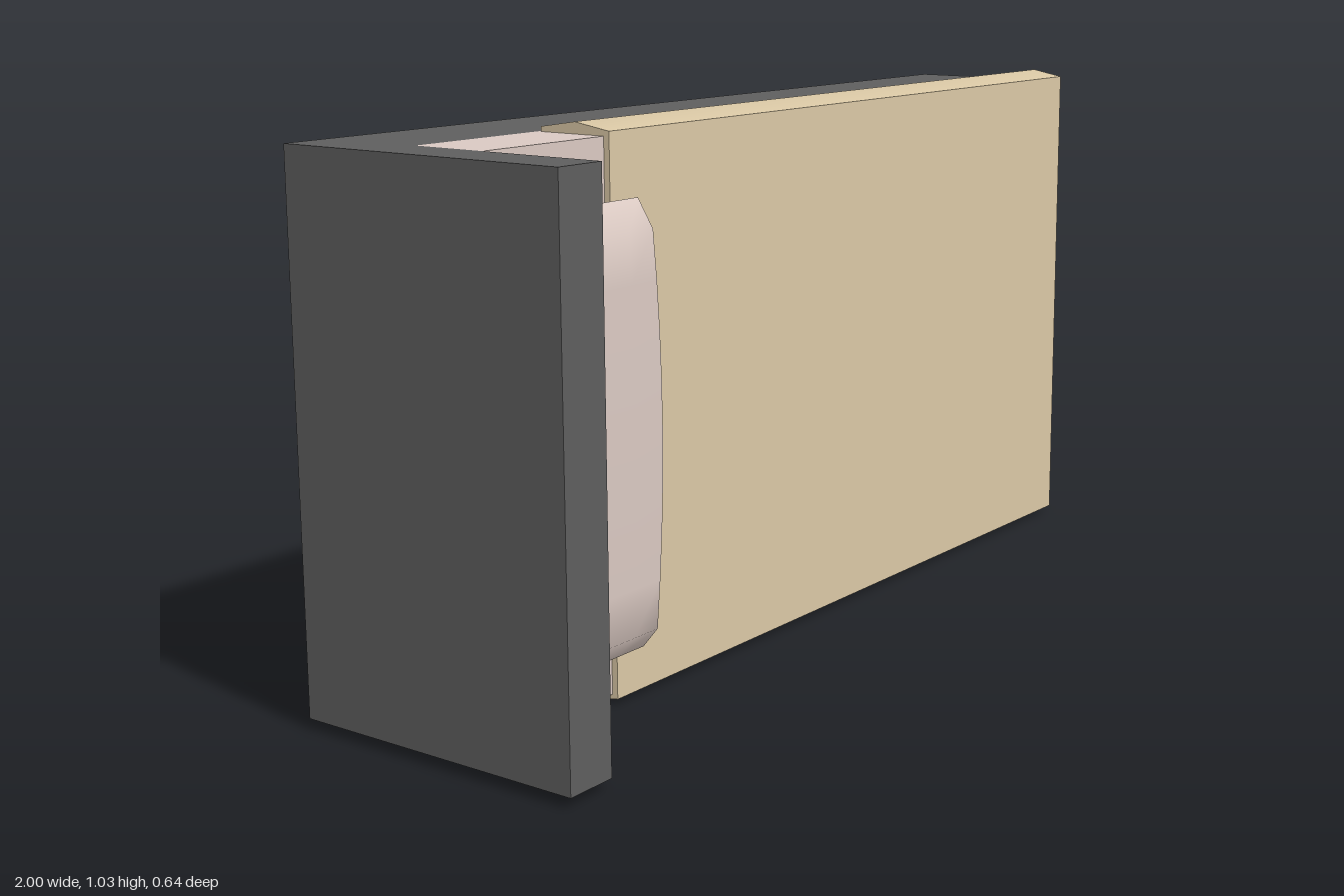
import * as THREE from 'three';
import { toCreasedNormals } from 'three/addons/utils/BufferGeometryUtils.js';

const material = (name, color) => {
  const m = new THREE.MeshStandardMaterial({ color });
  m.name = name;
  return m;
};

export function createModel() {
  const group = new THREE.Group();
  const frameGrey = material('frame grey', 0x5e5e5e);
  const runnerBlack = material('runner black', 0x1c1c1c);
  const linen = material('pale linen', 0xdac9c2);
  const blanketTan = material('blanket tan', 0xdac8a5);

  const add = (name, geometry, mat) => {
    const mesh = new THREE.Mesh(geometry, mat);
    mesh.name = name;
    group.add(mesh);
  };

  // Box given by its lower and upper corners
  const box = (name, a, b, mat) => {
    const g = new THREE.BoxGeometry(b[0] - a[0], b[1] - a[1], b[2] - a[2]);
    g.translate((a[0] + b[0]) / 2, (a[1] + b[1]) / 2, (a[2] + b[2]) / 2);
    add(name, g, mat);
  };

  // Cushion: a unit box whose vertices (u, v, w in -1..1) are moved by a rule
  const cushion = (name, rule, crease, mat) => {
    const g = new THREE.BoxGeometry(2, 2, 2, 4, 8, 2);
    const p = g.attributes.position;
    for (let i = 0; i < p.count; i++) p.setXYZ(i, ...rule(p.getX(i), p.getY(i), p.getZ(i)));
    add(name, toCreasedNormals(g, crease), mat);
  };

  // L-shaped frame: bed base and headboard in one piece
  const outline = new THREE.Shape([
    [-1, 0.275], [-1, -0.317], [-0.9, -0.317], [-0.9, 0.075], [0.98, 0.075], [0.98, 0.275],
  ].map(([x, y]) => new THREE.Vector2(x, y)));
  const frame = new THREE.ExtrudeGeometry(outline, { depth: 0.99, bevelEnabled: false });
  frame.rotateX(-Math.PI / 2); // shape y becomes -z, depth becomes y
  frame.translate(0, 0.02, 0);
  add('frame', frame, frameGrey);

  // Runners under the base
  for (const y of [0.07, 0.91]) {
    box('runner', [-0.9, y, -0.32], [0.88, y + 0.05, -0.27], runnerBlack);
  }

  // Mattress, mostly hidden by the blanket
  box('mattress', [-0.9, 0.02, -0.075], [0.95, 1.01, 0.072], linen);

  // Blanket with a ridge around its sides and foot
  cushion('blanket', (u, v, w) => {
    const ridge = 1 - Math.abs(w);
    const foot = 0.985 + 0.015 * ridge;
    return [
      THREE.MathUtils.mapLinear(u, -1, 1, -0.605, foot),
      0.516 + v * (0.503 + 0.012 * ridge),
      0.008 + w * 0.076,
    ];
  }, 0.6, blanketTan);

  // Plump pillow with pointed sides
  cushion('pillow', (u, v, w) => [
    -0.742 + u * (0.158 - 0.02 * Math.abs(w) - 0.014 * v * v),
    0.516 + v * (0.395 - 0.047 * Math.abs(w)),
    0.139 + w * (0.053 - 0.005 * v * v),
  ], 1.1, linen);

  return group;
}
